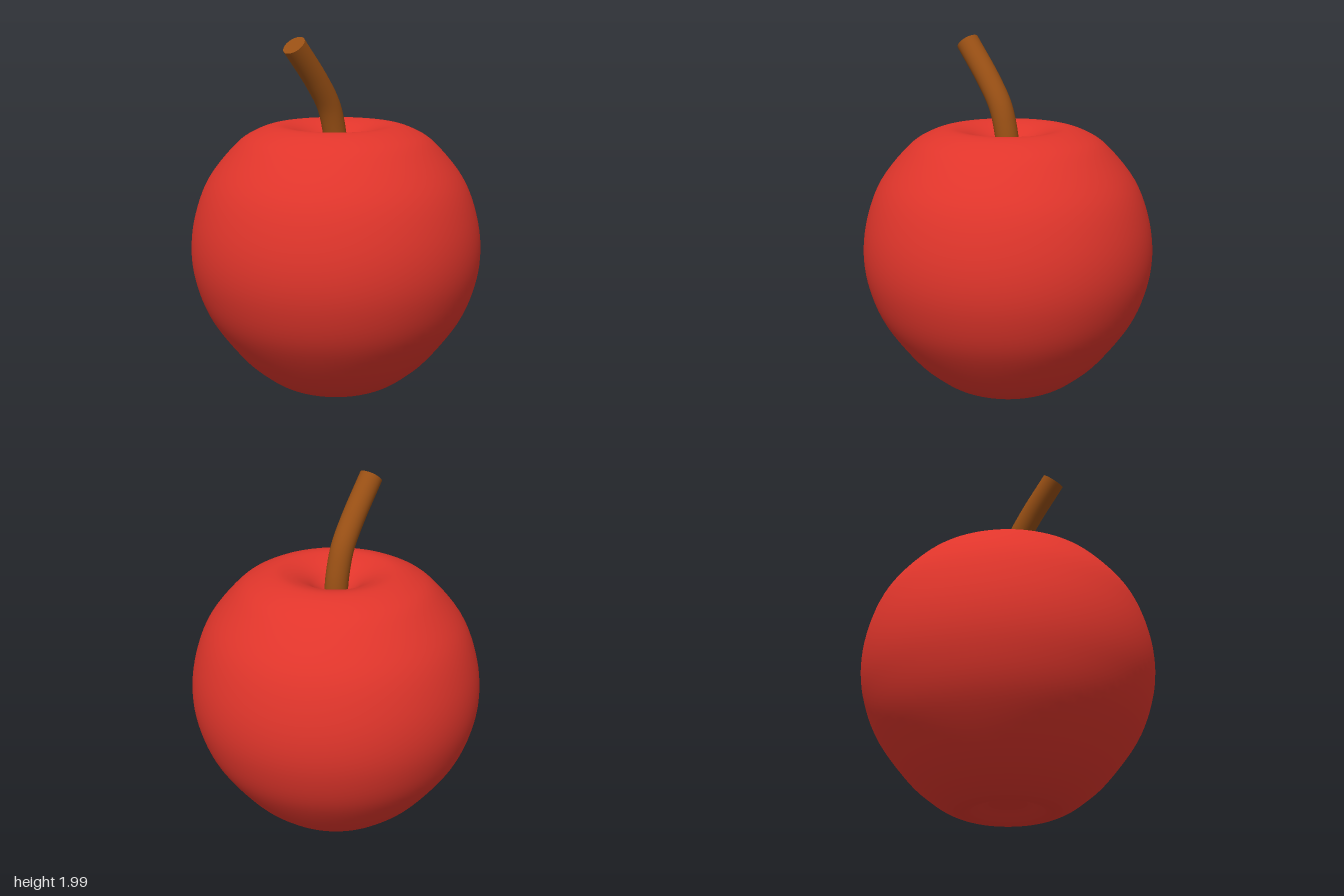
import * as THREE from 'three';

const STEM_RADIUS = 0.065;

export function createModel() {
  const model = new THREE.Group();
  model.name = 'apple';
  const skin = new THREE.MeshStandardMaterial({ color: 0xe0352b });
  const wood = new THREE.MeshStandardMaterial({ color: 0x984f14 });

  // Body: smooth profile from the bottom dimple round to the stem hollow
  const profile = new THREE.SplineCurve([
    [0, 0.075], [0.1, 0.055], [0.18, 0.02], [0.25, 0.004], [0.34, 0.035],
    [0.43, 0.095], [0.55, 0.205], [0.71, 0.42], [0.79, 0.62], [0.815, 0.81],
    [0.788, 1.01], [0.71, 1.21], [0.56, 1.395], [0.45, 1.47], [0.34, 1.504],
    [0.25, 1.49], [0.17, 1.453], [0.11, 1.405], [0.06, 1.36], [0, 1.34],
  ].map(([r, y]) => new THREE.Vector2(r, y)));
  const points = profile.getPoints(95);
  points.forEach((p) => { p.x = Math.max(p.x, 0); p.y = Math.max(p.y, 0); });
  const body = new THREE.Mesh(new THREE.LatheGeometry(points, 96), skin);
  body.name = 'body';
  model.add(body);

  // Stem: bent rod leaning forward out of the hollow
  const path = new THREE.CatmullRomCurve3([
    [1.3, 0], [1.4, 0.003], [1.5, 0.02], [1.62, 0.06], [1.755, 0.15], [1.957, 0.32],
  ].map(([y, z]) => new THREE.Vector3(0, y, z)));
  const stem = new THREE.Group();
  stem.name = 'stem';
  const rod = new THREE.Mesh(new THREE.TubeGeometry(path, 40, STEM_RADIUS, 32), wood);
  rod.name = 'stemRod';
  stem.add(rod);

  // Flat cut end of the stem
  const tip = new THREE.Mesh(new THREE.CircleGeometry(STEM_RADIUS, 32), wood);
  tip.name = 'stemTip';
  tip.position.copy(path.getPointAt(1));
  tip.quaternion.setFromUnitVectors(new THREE.Vector3(0, 0, 1), path.getTangentAt(1));
  stem.add(tip);
  model.add(stem);

  return model;
}
